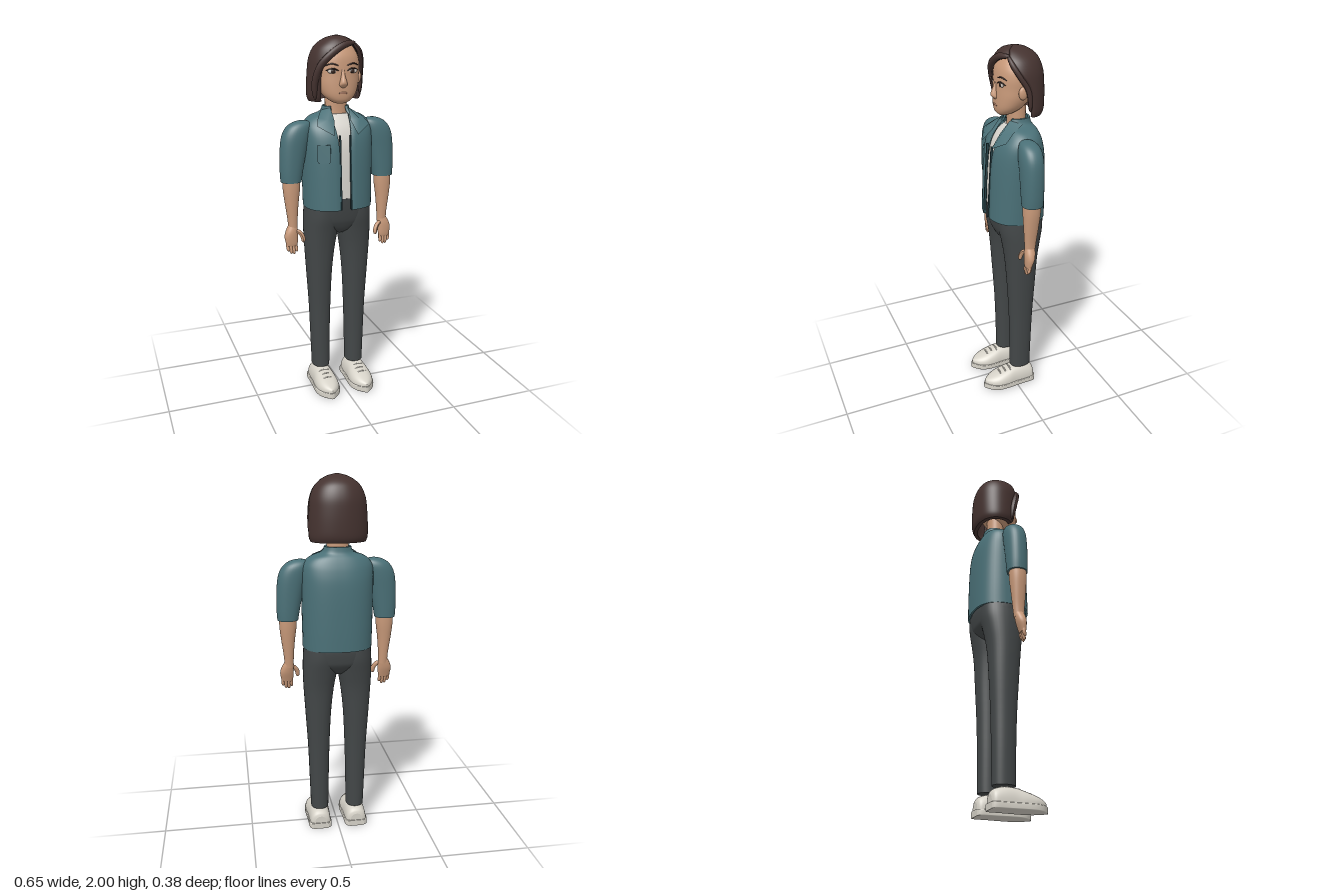
import * as THREE from 'three';

const mat = (name, color, side = THREE.FrontSide) => {
  const m = new THREE.MeshStandardMaterial({ color, side });
  m.name = name;
  return m;
};

// Catmull-Rom interpolation of every column of a table of cross-sections
function refine(rows, sub) {
  const out = [], n = rows.length, at = i => rows[Math.min(n - 1, Math.max(0, i))];
  for (let i = 0; i < n - 1; i++) {
    for (let s = 0; s < sub; s++) {
      const t = s / sub;
      out.push(rows[i].map((b, k) => {
        const a = at(i - 1)[k], c = at(i + 1)[k], d = at(i + 2)[k];
        return b + 0.5 * t * (c - a + t * (2 * a - 5 * b + 4 * c - d + t * (3 * (b - c) + d - a)));
      }));
    }
  }
  out.push(rows[n - 1]);
  return out;
}

// Loft through rows [y, x0, x1, z0, z1, startNeg, startPos], y ascending.
// With a thickness it makes an open-fronted shell between the two angles.
function loft(rows, { p = 2.2, thick = 0, sub = 4, n = 36 } = {}) {
  const pos = [], idx = [], R = refine(rows, sub), M = thick ? n * 2 : n;
  const point = (r, a, inset) => {
    const pw = v => Math.sign(v) * Math.pow(Math.abs(v), 2 / p);
    const rx = Math.max((r[2] - r[1]) / 2 - inset, 0.002), rz = Math.max((r[4] - r[3]) / 2 - inset, 0.002);
    return [(r[1] + r[2]) / 2 + rx * pw(Math.sin(a)), r[0], (r[3] + r[4]) / 2 + rz * pw(Math.cos(a))];
  };
  const ring = r => {
    const pts = [];
    if (!thick) {
      for (let j = 0; j < n; j++) pts.push(point(r, j / n * Math.PI * 2, 0));
      return pts;
    }
    let [a, b] = [r[6], r[5]];
    if (a < b) a = b = (a + b) / 2;
    const ang = j => a + (b + Math.PI * 2 - a) * j / (n - 1);
    for (let j = 0; j < n; j++) pts.push(point(r, ang(j), 0));
    for (let j = n - 1; j >= 0; j--) pts.push(point(r, ang(j), thick));
    return pts;
  };
  const rings = R.map(ring);
  rings.forEach(q => q.forEach(v => pos.push(...v)));
  for (let i = 0; i < rings.length - 1; i++) for (let j = 0; j < M; j++) {
    const a = i * M + j, b = i * M + (j + 1) % M;
    idx.push(a, b, a + M, b, b + M, a + M);
  }
  [0, rings.length - 1].forEach(e => {
    const base = pos.length / 3, tri = (a, b, c) => e ? idx.push(base + a, base + c, base + b) : idx.push(base + a, base + b, base + c);
    rings[e].forEach(v => pos.push(...v));
    if (thick) {
      for (let j = 0; j < n - 1; j++) {
        const i0 = M - 1 - j;
        tri(j, i0, j + 1);
        tri(j + 1, i0, i0 - 1);
      }
    } else {
      const r = R[e ? R.length - 1 : 0];
      pos.push((r[1] + r[2]) / 2, r[0], (r[3] + r[4]) / 2);
      for (let j = 0; j < n; j++) tri(n, (j + 1) % n, j);
    }
  });
  const g = new THREE.BufferGeometry();
  g.setAttribute('position', new THREE.Float32BufferAttribute(pos, 3));
  g.setIndex(idx);
  g.computeVertexNormals();
  return g;
}

// Tube that rounds off to a point at both ends
function strand(points, radius, seg = 20) {
  const path = new THREE.CatmullRomCurve3(points.map(v => new THREE.Vector3(...v)));
  const g = new THREE.TubeGeometry(path, seg, radius, 10), P = g.attributes.position, v = new THREE.Vector3();
  for (let i = 0; i < P.count; i++) {
    const t = Math.floor(i / 11) / seg, c = path.getPointAt(t);
    v.fromBufferAttribute(P, i).sub(c).multiplyScalar(Math.pow(Math.max(0, 1 - (2 * t - 1) ** 4), 0.5)).add(c);
    P.setXYZ(i, v.x, v.y, v.z);
  }
  g.computeVertexNormals();
  return g;
}

export function createModel() {
  const model = new THREE.Group();
  model.name = 'standingPerson';
  const skin = mat('skin', 0xc99a7a), hair = mat('hair', 0x453330), jacket = mat('jacketTeal', 0x4a7077, THREE.DoubleSide),
    zip = mat('zipDarkTeal', 0x29444a), shirt = mat('shirtWhite', 0xd9d6cf), trousers = mat('trouserGrey', 0x434748),
    shoe = mat('shoeWhite', 0xd6d2c8), eyeWhite = mat('eyeWhite', 0xd8cfc6), dark = mat('eyeBrown', 0x35251f), lip = mat('lip', 0xb07f67);
  const add = (name, g, m) => {
    const mesh = new THREE.Mesh(g, m);
    mesh.name = name;
    model.add(mesh);
    return mesh;
  };
  const wide = rows => rows.map(([y, x, ...rest]) => [y, -x, x, ...rest]);
  const ball = (name, m, at, size) => {
    const b = add(name, new THREE.SphereGeometry(1, 20, 14), m);
    b.position.set(...at);
    b.scale.set(...size);
  };

  // Head, neck and face
  add('head', loft(wide([[1.655, 0.03, -0.01, 0.045], [1.67, 0.058, -0.04, 0.06], [1.7, 0.09, -0.08, 0.066], [1.75, 0.113, -0.13, 0.066],
    [1.8, 0.12, -0.155, 0.064], [1.85, 0.123, -0.16, 0.062], [1.9, 0.114, -0.155, 0.053], [1.95, 0.08, -0.12, 0.025], [1.97, 0.04, -0.09, 0]])), skin);
  add('neck', loft(wide([[1.55, 0.065, -0.105, 0], [1.61, 0.059, -0.1, -0.008], [1.72, 0.059, -0.1, -0.005]])), skin);
  add('nose', loft(wide([[1.737, 0.01, 0.05, 0.067], [1.75, 0.022, 0.045, 0.082], [1.766, 0.019, 0.045, 0.088], [1.8, 0.011, 0.045, 0.075], [1.835, 0.008, 0.045, 0.063]]), { n: 16 }), skin);
  ball('mouth', lip, [0, 1.71, 0.064], [0.025, 0.006, 0.005]);

  // Bob of hair with an off-centre parting, and the two locks that frame the face
  add('hair', loft(wide([[1.662, 0.146, -0.172, 0.04, -0.85, 1.68], [1.69, 0.155, -0.184, 0.055, -0.83, 1.66], [1.75, 0.155, -0.187, 0.06, -0.83, 1.63],
    [1.82, 0.151, -0.186, 0.064, -0.78, 1.55], [1.88, 0.144, -0.181, 0.066, -0.52, 1.28], [1.93, 0.125, -0.165, 0.06, -0.05, 1.02],
    [1.962, 0.097, -0.142, 0.045, 0.8, 0.8], [1.988, 0.055, -0.1, 0.018, 0.8, 0.8], [2, 0.01, -0.05, -0.03, 0.8, 0.8]]), { thick: 0.022, n: 48 }), hair);
  add('sweptLock', strand([[0.085, 1.965, 0.02], [0.01, 1.952, 0.048], [-0.065, 1.905, 0.052], [-0.115, 1.845, 0.033], [-0.137, 1.76, 0.01], [-0.133, 1.672, 0]], 0.019, 32), hair);
  add('sideLock', strand([[0.065, 1.968, 0.025], [0.105, 1.925, 0.015], [0.13, 1.87, -0.015], [0.143, 1.8, -0.055], [0.145, 1.69, -0.066]], 0.014, 28), hair);

  // Shirt and open jacket
  add('shirt', loft(wide([[1.14, 0.15, -0.15, 0.1], [1.35, 0.15, -0.14, 0.091], [1.45, 0.15, -0.135, 0.079], [1.52, 0.13, -0.13, 0.056],
    [1.565, 0.095, -0.115, 0.026], [1.595, 0.062, -0.104, 0]]), { p: 2.5 }), shirt);
  add('jacketBody', loft(wide([[1.09, 0.187, -0.19, 0.12, -0.11, 0.11], [1.2, 0.189, -0.19, 0.116, -0.11, 0.11], [1.35, 0.191, -0.187, 0.109, -0.11, 0.11],
    [1.45, 0.192, -0.181, 0.098, -0.12, 0.12], [1.51, 0.19, -0.17, 0.08, -0.15, 0.15], [1.55, 0.178, -0.157, 0.055, -0.19, 0.19],
    [1.582, 0.145, -0.142, 0.03, -0.27, 0.27], [1.605, 0.085, -0.126, 0.014, -0.52, 0.52], [1.635, 0.07, -0.12, 0.004, -0.64, 0.64]]), { p: 2.5, thick: 0.011, n: 48 }), jacket);

  // Chest pocket
  const s = new THREE.Shape(), w = 0.035, h = 0.048, c = 0.014;
  s.moveTo(-w, h).lineTo(-w, c - h).quadraticCurveTo(-w, -h, c - w, -h).lineTo(w - c, -h).quadraticCurveTo(w, -h, w, c - h).lineTo(w, h).closePath();
  const pocket = add('chestPocket', new THREE.ExtrudeGeometry(s, { depth: 0.009, bevelEnabled: false }), jacket);
  pocket.position.set(-0.113, 1.398, 0.084);
  pocket.rotation.set(-0.07, -0.42, 0);

  for (const k of [1, -1]) {
    const side = k > 0 ? 'left' : 'right';
    const mir = rows => rows.map(([y, a, b, ...z]) => k > 0 ? [y, a, b, ...z] : [y, -b, -a, ...z]);
    const pts = list => list.map(([x, y, z]) => [k * x, y, z]);

    // Eyes, brows and ears
    ball(side + 'Eye', eyeWhite, [k * 0.054, 1.822, 0.054], [0.028, 0.012, 0.007]);
    ball(side + 'Iris', dark, [k * 0.053, 1.822, 0.058], [0.013, 0.0115, 0.006]);
    add(side + 'Lashes', strand(pts([[0.022, 1.823, 0.061], [0.053, 1.836, 0.06], [0.09, 1.824, 0.044]]), 0.0035), dark);
    add(side + 'Brow', strand(pts([[0.022, 1.85, 0.061], [0.06, 1.86, 0.056], [0.092, 1.85, 0.04]]), 0.0035), hair);
    ball(side + 'Ear', skin, [k * 0.122, 1.785, -0.036], [0.014, 0.034, 0.025]);

    // Sleeve, forearm and hand
    add(side + 'Sleeve', loft(mir([[1.24, 0.21, 0.322, -0.08, 0.03], [1.3, 0.2, 0.325, -0.083, 0.032], [1.4, 0.18, 0.323, -0.086, 0.033], [1.48, 0.16, 0.313, -0.087, 0.032],
      [1.53, 0.15, 0.287, -0.082, 0.024], [1.556, 0.155, 0.25, -0.065, 0.008], [1.566, 0.18, 0.215, -0.04, -0.02]])), jacket);
    add(side + 'Forearm', loft(mir([[0.97, 0.238, 0.288, -0.043, 0.01], [1.03, 0.237, 0.291, -0.05, 0.014], [1.12, 0.23, 0.303, -0.06, 0.02],
      [1.2, 0.22, 0.312, -0.068, 0.024], [1.27, 0.218, 0.312, -0.07, 0.024]])), skin);
    add(side + 'Palm', loft(mir([[0.883, 0.247, 0.303, -0.016, 0.012], [0.9, 0.241, 0.308, -0.022, 0.015], [0.935, 0.238, 0.313, -0.034, 0.017],
      [0.965, 0.238, 0.305, -0.04, 0.016], [0.995, 0.238, 0.289, -0.043, 0.01]]), { n: 24 }), skin);
    [0.848, 0.835, 0.838, 0.855].forEach((tip, i) => {
      const x = 0.252 + i * 0.0155;
      add(side + 'Finger' + (i + 1), strand(pts([[x, 0.91, -0.005], [x - 0.001, 0.87, 0], [x - 0.004, tip, 0.008]]), 0.0095, 12), skin);
    });
    add(side + 'Thumb', strand(pts([[0.256, 0.972, -0.005], [0.229, 0.955, 0.006], [0.216, 0.932, 0.013], [0.213, 0.9, 0.018]]), 0.0125, 14), skin);

    // Folded collar flap
    const q = pts([[0.09, 1.575, 0.07], [0.05, 1.63, 0.004], [0.086, 1.612, -0.05], [0.125, 1.583, 0.02], [0.147, 1.545, 0.068], [0.066, 1.497, 0.116], [0.045, 1.565, 0.058]]);
    const flap = new THREE.BufferGeometry();
    flap.setAttribute('position', new THREE.Float32BufferAttribute(q.flat(), 3));
    flap.setIndex([1, 2, 3, 4, 5, 6].flatMap(i => k > 0 ? [0, i % 6 + 1, i] : [0, i, i % 6 + 1]));
    flap.computeVertexNormals();
    add(side + 'CollarFlap', flap, jacket);

    // Zip edge
    const strip = add(side + 'ZipEdge', new THREE.BoxGeometry(0.007, 0.4, 0.012), zip);
    strip.position.set(k * 0.029, 1.295, 0.109);
    strip.rotation.x = -0.06;

    // Trouser leg
    add(side + 'TrouserLeg', loft(mir([[0.12, 0.053, 0.153, -0.1, 0.022], [0.3, 0.05, 0.159, -0.103, 0.023], [0.5, 0.045, 0.166, -0.109, 0.029], [0.7, 0.036, 0.178, -0.12, 0.041],
      [0.85, 0.02, 0.187, -0.13, 0.052], [0.95, 0.002, 0.19, -0.147, 0.065], [1.03, -0.01, 0.188, -0.163, 0.08], [1.1, -0.01, 0.182, -0.165, 0.085]])), trousers);

    // Shoe, lofted from heel to toe and laid flat
    const lay = (rows, p, floor) => {
      const g = loft(rows, { p }).rotateX(Math.PI / 2).translate(k * 0.105, 0, 0), P = g.attributes.position;
      for (let i = 0; i < P.count; i++) P.setY(i, Math.max(P.getY(i), floor));
      g.computeVertexNormals();
      return g;
    };
    const upper = [[-0.114, 0.035, 0.075], [-0.1, 0.056, 0.1], [-0.05, 0.061, 0.116], [0.01, 0.062, 0.115], [0.06, 0.067, 0.102],
      [0.11, 0.064, 0.086], [0.15, 0.047, 0.071], [0.177, 0.022, 0.058], [0.186, 0.006, 0.05]];
    add(side + 'ShoeUpper', lay(upper.map(([z, x, y]) => [z, -x, x, -y, y - 0.06]), 2.4, 0.02), shoe);
    const sole = [[-0.118, 0.045], [-0.1, 0.064], [-0.03, 0.066], [0.06, 0.071], [0.11, 0.069], [0.15, 0.053], [0.18, 0.023], [0.192, 0.006]];
    add(side + 'ShoeSole', lay(sole.map(([z, x]) => [z, -x, x, -0.035, 0]), 8, 0), shoe);
    [[0.035, 0.109], [0.065, 0.1], [0.095, 0.091]].forEach(([z, y], i) => add(side + 'Lace' + (i + 1),
      strand([[-0.036, y - 0.009, z], [0, y + 0.001, z], [0.036, y - 0.009, z]].map(v => [v[0] + k * 0.105, v[1], v[2]]), 0.004, 12), shoe));

    // Slanted pocket seam
    add(side + 'PocketSeam', strand(pts([[0.135, 1.085, 0.066], [0.152, 1.045, 0.046], [0.172, 1.01, 0.01]]), 0.003, 12), trousers);
  }

  // Hips and waist of the trousers
  add('trouserHips', loft(wide([[0.94, 0.03, -0.1, 0.03], [0.965, 0.09, -0.13, 0.056], [1, 0.165, -0.157, 0.074], [1.03, 0.184, -0.167, 0.084],
    [1.09, 0.184, -0.174, 0.095], [1.15, 0.172, -0.165, 0.102]]), { p: 2.4 }), trousers);
  return model;
}
